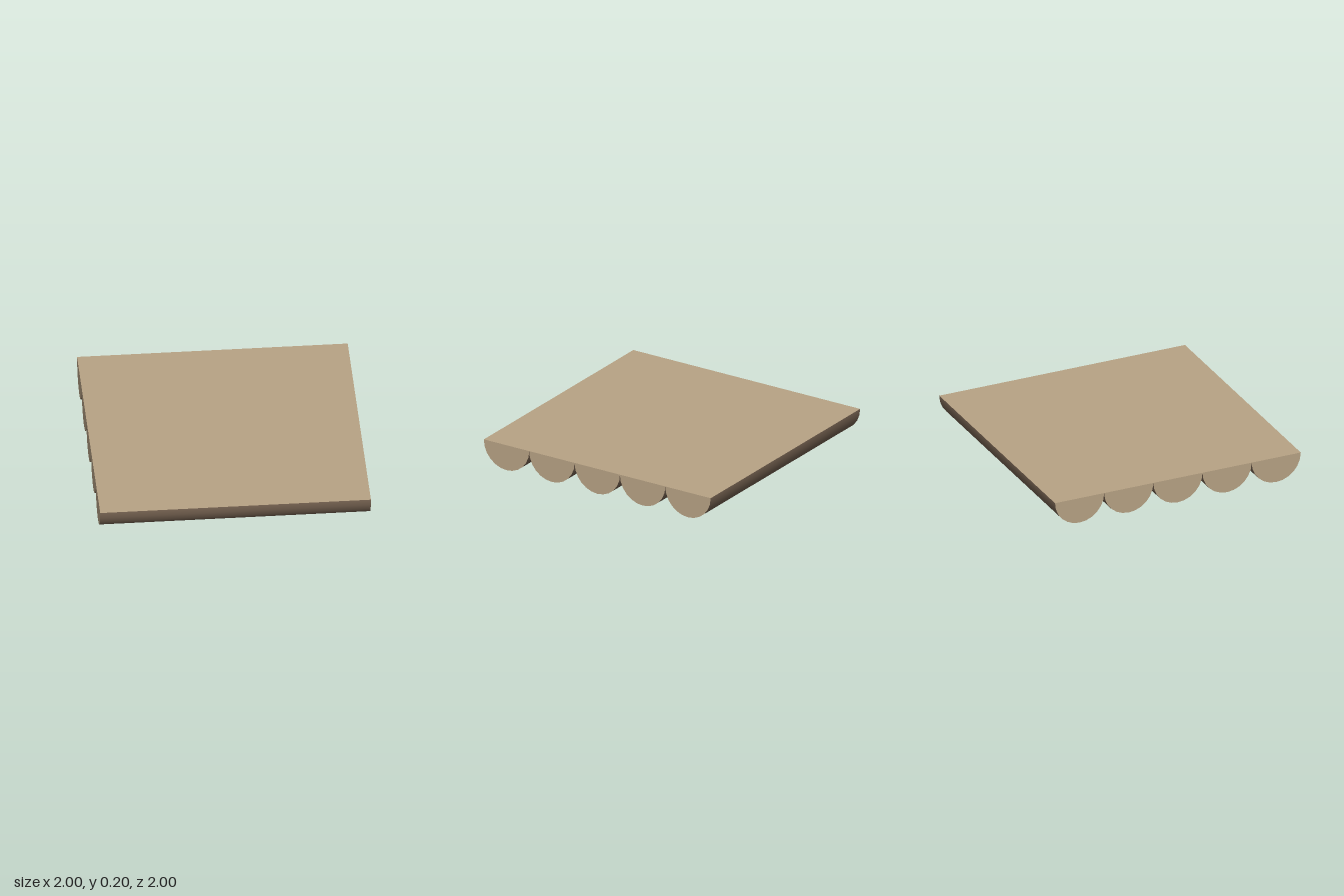
import * as THREE from 'three';

const RADIUS = 0.2, LENGTH = 2, COUNT = 5, SIDES = 12;

export function createModel() {
  const model = new THREE.Group();
  model.name = 'halfLogPlatform';

  const bark = new THREE.MeshStandardMaterial({ color: 0x7a6654 });
  const wood = new THREE.MeshStandardMaterial({ color: 0xb8a385 });

  // Lower half of a log lying along x; groups: bark, then the two cut ends
  const halfLog = new THREE.CylinderGeometry(
    RADIUS, RADIUS, LENGTH, SIDES, 1, false, Math.PI, Math.PI).rotateZ(Math.PI / 2);

  // Flat sawn face
  const sawnFace = new THREE.PlaneGeometry(LENGTH, RADIUS * 2).rotateX(-Math.PI / 2);

  for (let i = 0; i < COUNT; i++) {
    const log = new THREE.Group();
    log.name = `log${i + 1}`;
    const body = new THREE.Mesh(halfLog, [bark, wood, wood]);
    body.name = 'barkAndEnds';
    const top = new THREE.Mesh(sawnFace, wood);
    top.name = 'sawnTop';
    log.add(body, top);
    log.position.set(0, RADIUS, (i - (COUNT - 1) / 2) * RADIUS * 2);
    model.add(log);
  }
  return model;
}
